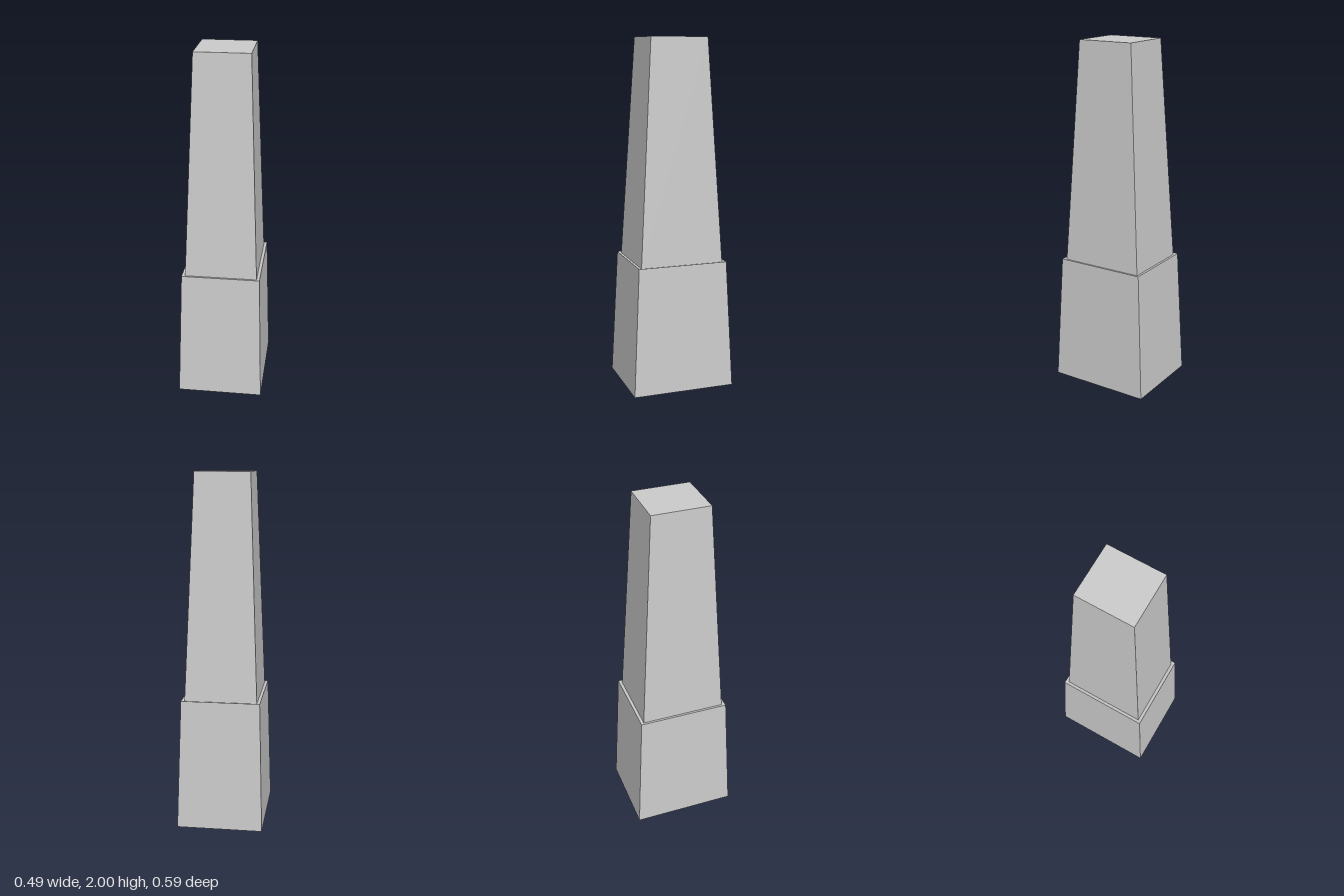
import * as THREE from 'three';

// Rectangular cross-sections, bottom to top: [half width x, height y, half depth z]
const FOOT = [0.243, 0, 0.297];
const LEDGE_OUTER = [0.222, 0.74, 0.26];
const LEDGE_INNER = [0.204, 0.736, 0.241];
const TOP = [0.154, 2, 0.164];

// Four sloping walls between two rectangular rings, open at both ends
function walls(lower, upper) {
  const ring = ([x, y, z]) => [[-x, y, z], [x, y, z], [x, y, -z], [-x, y, -z]];
  const a = ring(lower), b = ring(upper), positions = [];
  for (let i = 0; i < 4; i++) {
    const j = (i + 1) % 4;
    for (const p of [a[i], a[j], b[j], a[i], b[j], b[i]]) positions.push(...p);
  }
  const geometry = new THREE.BufferGeometry();
  geometry.setAttribute('position', new THREE.Float32BufferAttribute(positions, 3));
  geometry.computeVertexNormals();
  return geometry;
}

export function createModel() {
  const model = new THREE.Group();
  model.name = 'taperedPillar';

  const stone = new THREE.MeshStandardMaterial({
    color: 0xcccccc, flatShading: true, side: THREE.DoubleSide,
  });
  stone.name = 'lightGreyStone';

  const add = (name, geometry) => {
    const mesh = new THREE.Mesh(geometry, stone);
    mesh.name = name;
    model.add(mesh);
    return mesh;
  };

  // Hollow plinth, open underneath
  add('plinth', walls(FOOT, LEDGE_OUTER));
  // Narrow ledge dipping slightly towards the shaft
  add('ledge', walls(LEDGE_OUTER, LEDGE_INNER));
  // Tapering shaft
  add('shaft', walls(LEDGE_INNER, TOP));
  // Flat cap
  const cap = add('cap', new THREE.PlaneGeometry(TOP[0] * 2, TOP[2] * 2).rotateX(-Math.PI / 2));
  cap.position.y = TOP[1];

  return model;
}
